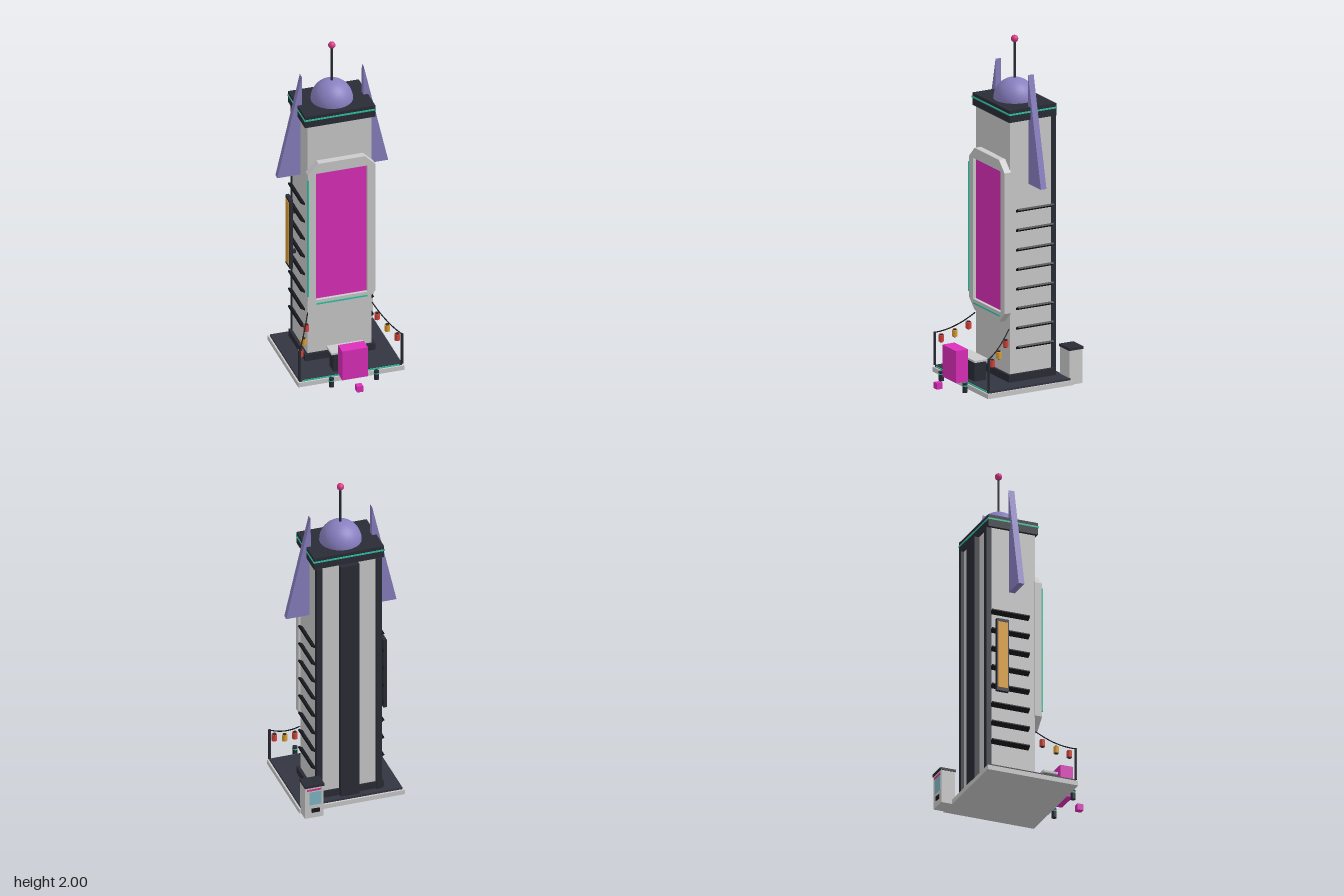
import * as THREE from 'three';

const mat = (color, flatShading = false) => new THREE.MeshStandardMaterial({ color, flatShading });
const GREY = mat(0xcccccc), DARK = mat(0x2a2c36), DECK = mat(0x333541), BLACK = mat(0x17181d);
const TEAL = mat(0x2fc4a2), MAGENTA = mat(0xdd2fbb), PURPLE = mat(0x887fc0), PINK = mat(0xd83a86);
const AMBER = mat(0xe0a030), RED = mat(0xd8453a), GLASS = mat(0x7fb8c4);

export function createModel() {
  const root = new THREE.Group();

  const add = (name, geo, material, x = 0, y = 0, z = 0, parent = root) => {
    const m = new THREE.Mesh(geo, material);
    m.name = name;
    m.position.set(x, y, z);
    parent.add(m);
    return m;
  };
  // box given by its extents on each axis
  const box = (name, material, x0, x1, y0, y1, z0, z1, parent = root) =>
    add(name, new THREE.BoxGeometry(x1 - x0, y1 - y0, z1 - z0), material,
      (x0 + x1) / 2, (y0 + y1) / 2, (z0 + z1) / 2, parent);
  const cyl = (name, material, r, y0, y1, x, z, sides = 8, parent = root) =>
    add(name, new THREE.CylinderGeometry(r, r, y1 - y0, sides), material, x, (y0 + y1) / 2, z, parent);

  // ground slab and deck
  box('baseSlab', GREY, -0.313, 0.313, 0, 0.028, -0.32, 0.232);
  box('deck', DECK, -0.303, 0.303, 0.028, 0.04, -0.308, 0.222);
  box('deckLightStrip', TEAL, -0.285, 0.285, 0.03, 0.038, 0.22, 0.226);

  // tower
  box('plinth', DARK, -0.208, 0.208, 0.04, 0.082, -0.268, 0.035);
  box('towerShaft', GREY, -0.19, 0.19, 0.04, 1.56, -0.26, 0.02);
  box('backSpine', DARK, -0.056, 0.056, 0.04, 1.555, -0.29, -0.25);
  for (const s of [-1, 1]) {
    const rib = box('backCornerRib', DARK, -0.016, 0.016, 0.04, 1.558, -0.278, -0.245);
    rib.position.x = s * 0.177;
  }

  // tilted louvres on both sides
  for (const s of [-1, 1]) {
    for (let i = 0; i < 8; i++) {
      const slat = add('sideLouvre', new THREE.BoxGeometry(0.034, 0.011, 0.23), BLACK,
        s * 0.2, 0.235 + i * 0.1145, -0.135);
      slat.rotation.z = s * 0.55;
    }
  }

  // roof, dome and antenna
  box('roofSlab', DARK, -0.208, 0.208, 1.56, 1.632, -0.27, 0.033);
  box('roofLightBand', TEAL, -0.211, 0.211, 1.602, 1.612, -0.273, 0.036);
  add('dome', new THREE.SphereGeometry(0.12, 24, 10, 0, Math.PI * 2, 0, Math.PI / 2), PURPLE, 0, 1.632, -0.12);
  cyl('antenna', DARK, 0.007, 1.74, 1.97, 0, -0.12);
  add('antennaTip', new THREE.SphereGeometry(0.021, 12, 10), PINK, 0, 1.979, -0.12);

  // triangular side fins
  for (const s of [-1, 1]) {
    const shape = new THREE.Shape([[0.178, 1.18], [0.327, 1.18], [0.183, 1.815]]
      .map(([x, y]) => new THREE.Vector2(s * x, y)));
    add('sideFin', new THREE.ExtrudeGeometry(shape, { depth: 0.036, bevelEnabled: false }), PURPLE, 0, 0, -0.138);
  }

  // framed front screen with clipped corners
  const frame = new THREE.Shape([
    [-0.137, 0.38], [0.137, 0.38], [0.2, 0.443], [0.2, 1.267],
    [0.137, 1.33], [-0.137, 1.33], [-0.2, 1.267], [-0.2, 0.443],
  ].map(p => new THREE.Vector2(...p)));
  frame.holes.push(new THREE.Path([[-0.152, 0.443], [-0.152, 1.267], [0.152, 1.267], [0.152, 0.443]]
    .map(p => new THREE.Vector2(...p))));
  add('screenFrame', new THREE.ExtrudeGeometry(frame, { depth: 0.042, bevelEnabled: false }), GREY, 0, 0, 0.018);
  box('screen', MAGENTA, -0.152, 0.152, 0.443, 1.267, 0.015, 0.042);
  box('screenLowerLight', TEAL, -0.15, 0.15, 0.415, 0.424, 0.055, 0.064);
  box('screenSideLight', TEAL, -0.204, -0.196, 0.475, 1.235, 0.055, 0.065);

  // vertical sign on the right wall
  const sign = new THREE.Group();
  sign.name = 'wallSign';
  root.add(sign);
  box('signCase', DARK, -0.237, -0.216, 0.54, 0.985, -0.232, -0.158, sign);
  box('signFace', AMBER, -0.24, -0.23, 0.56, 0.965, -0.224, -0.166, sign);
  for (const y of [0.62, 0.88]) box('signBracket', DARK, -0.22, -0.185, y, y + 0.02, -0.205, -0.185, sign);

  // vending machine behind the left rear corner
  const vending = new THREE.Group();
  vending.name = 'vendingMachine';
  root.add(vending);
  box('vendingBody', GREY, 0.192, 0.302, 0, 0.202, -0.386, -0.302, vending);
  box('vendingCap', DARK, 0.188, 0.304, 0.2, 0.214, -0.392, -0.299, vending);
  box('vendingWindow', GLASS, 0.205, 0.275, 0.085, 0.17, -0.389, -0.38, vending);
  box('vendingStripe', PINK, 0.205, 0.29, 0.177, 0.188, -0.389, -0.38, vending);
  box('vendingSlot', BLACK, 0.215, 0.262, 0.035, 0.06, -0.391, -0.38, vending);

  // counter, glowing booth panel and small cube
  box('counterBody', DARK, -0.092, 0.092, 0.04, 0.155, 0.118, 0.194);
  box('counterTop', GREY, -0.106, 0.106, 0.153, 0.165, 0.109, 0.199);
  box('boothPanel', MAGENTA, -0.076, 0.076, 0.042, 0.23, 0.226, 0.302);
  box('smallCube', MAGENTA, -0.018, 0.018, 0.003, 0.04, 0.356, 0.393);

  for (const s of [-1, 1]) {
    // stools
    cyl('stool', DARK, 0.015, 0, 0.055, s * 0.133, 0.278);
    cyl('stoolBand', TEAL, 0.0158, 0.037, 0.044, s * 0.133, 0.278);

    // lantern pole and sagging cable
    cyl('lanternPole', DARK, 0.008, 0.04, 0.232, s * 0.303, 0.222);
    const path = new THREE.QuadraticBezierCurve3(
      new THREE.Vector3(s * 0.303, 0.23, 0.222),
      new THREE.Vector3(s * 0.247, 0.25, 0.125),
      new THREE.Vector3(s * 0.19, 0.348, 0.025));
    add('lanternCable', new THREE.TubeGeometry(path, 16, 0.0035, 6), BLACK);

    // hanging lanterns
    [[0.285, 0.197, 0.19, RED], [0.247, 0.227, 0.125, AMBER], [0.209, 0.273, 0.058, RED]]
      .forEach(([x, y, z, color]) => {
        cyl('lantern', color, 0.0165, y - 0.019, y + 0.019, s * x, z);
        cyl('lanternCap', DARK, 0.0105, y - 0.023, y + 0.024, s * x, z);
      });
  }

  return root;
}
